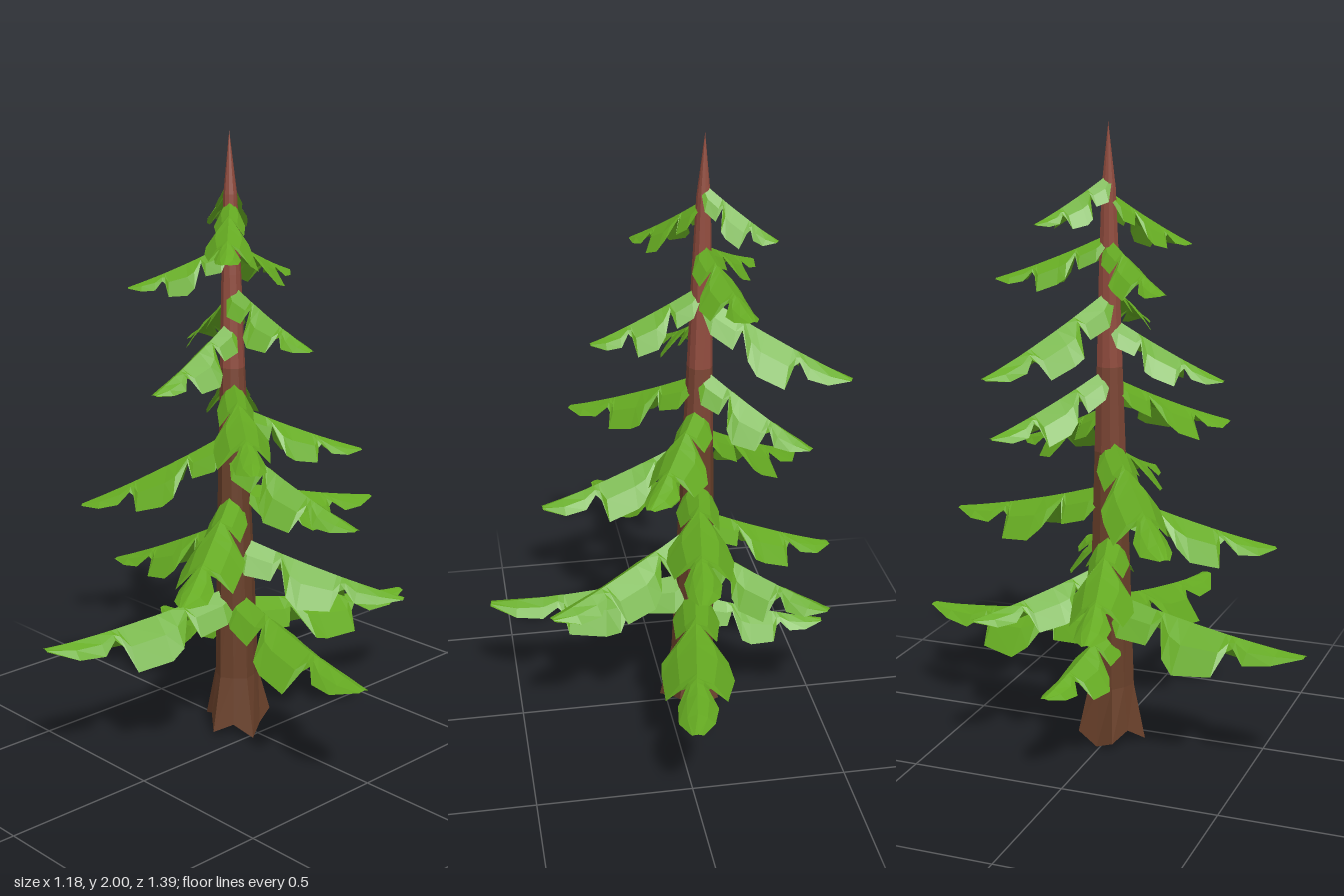
import * as THREE from 'three';

const paint = (name, color, extra = {}) => {
  const m = new THREE.MeshStandardMaterial({ color, flatShading: true, ...extra });
  m.name = name;
  return m;
};

// Skin a list of cross-sections (arrays of [x, y, z]) with flat quads
function loft(rows, closed) {
  const n = rows[0].length, pos = rows.flat(2), idx = [];
  for (let i = 0; i < rows.length - 1; i++) {
    for (let j = 0; j < (closed ? n : n - 1); j++) {
      const a = i * n + j, b = i * n + (j + 1) % n;
      idx.push(a, a + n, b, b, a + n, b + n);
    }
  }
  const g = new THREE.BufferGeometry();
  g.setAttribute('position', new THREE.Float32BufferAttribute(pos, 3));
  g.setIndex(idx);
  const flat = g.toNonIndexed();
  flat.computeVertexNormals();
  return flat;
}

// Trunk centre line and radius at a height
const trunkX = y => -0.093 - 0.012 * y;
const SIDES = 10;
function trunkRing([y, r, star, jag = 0]) {
  return Array.from({ length: SIDES }, (_, j) => {
    const a = (j + 0.4) / SIDES * Math.PI * 2;
    const k = r * (1 + (j % 2 ? -star : star));
    return [trunkX(y) + k * Math.cos(a), y + jag * ((j * 3) % 5) / 4, 0.01 + k * Math.sin(a)];
  });
}

// Branch outline: [distance along, half width, drop], three hanging lobes
const LOBES = [
  [0, 0.25, 0.3], [0.1, 0.65, 0.8], [0.25, 0.6, 0.75], [0.29, 0.25, 0.2],
  [0.36, 0.9, 0.85], [0.43, 1, 1], [0.61, 0.88, 0.88], [0.64, 0.4, 0.35],
  [0.67, 0.3, 0.2], [0.74, 0.55, 0.42], [0.87, 0.5, 0.3], [1, 0.15, 0.03],
];

// A folded bough: a ridge from the trunk to the tip with both sides hanging
function boughGeometry(rootY, tx, ty, tz, k) {
  const rx = trunkX(rootY), rz = 0.01;
  const dx = tx - rx, dz = tz - rz, flat = Math.hypot(dx, dz);
  const len = Math.hypot(flat, ty - rootY);
  const sx = -dz / flat, sz = dx / flat;
  const width = 0.035 + 0.115 * len, drop = 0.045 + 0.115 * len;
  const rows = LOBES.map(([s, w, d], i) => {
    const y = rootY + (ty - rootY) * s - 0.08 * len * s * (1 - s);
    const point = (side, out, down) => {
      const wob = 1 + 0.08 * Math.sin(k * 2.3 + i * 1.7 + side);
      const o = side * out * w * width * wob;
      return [rx + dx * s + sx * o, y - down * d * drop * wob, rz + dz * s + sz * o];
    };
    return [point(1, 1, 1), point(1, 0.55, 0.4), point(0, 0, 0), point(-1, 0.55, 0.4), point(-1, 1, 1)];
  });
  return loft(rows, false);
}

// Boughs from bottom to top: [height at trunk, tip x, tip y, tip z]
const BOUGHS = [
  [0.41, -0.53, 0.30, -0.04], [0.50, 0.585, 0.38, 0.12], [0.51, -0.24, 0.43, 0.69], [0.47, 0.02, 0.35, -0.69],
  [0.62, -0.48, 0.50, -0.30], [0.69, 0.41, 0.53, -0.26], [0.74, -0.585, 0.51, 0.12], [0.85, 0.18, 0.63, 0.48],
  [0.87, -0.02, 0.72, -0.56], [1.04, -0.50, 0.77, 0.33], [1.01, 0.41, 0.81, -0.03], [1.13, 0.11, 0.95, -0.37],
  [1.22, 0.28, 1.02, 0.28], [1.25, -0.41, 1.06, -0.26], [1.41, -0.07, 1.22, 0.37], [1.49, -0.54, 1.27, -0.22],
  [1.52, 0.24, 1.35, 0.0], [1.65, -0.32, 1.51, 0.26], [1.66, -0.20, 1.52, -0.33], [1.79, 0.08, 1.62, 0.21],
  [1.84, -0.31, 1.70, -0.15],
];

export function createModel() {
  const needles = paint('needle green', 0x66ac22, { side: THREE.DoubleSide });
  const barks = [paint('dark bark', 0x69402a), paint('middle bark', 0x7c4534), paint('red bark', 0x914c3e)];
  const tree = new THREE.Group();
  tree.name = 'pineTree';

  // Trunk in three bark bands: [height, radius, star amount, jaggedness]
  const bands = [
    [[0.06, 0.0, 0], [0, 0.1, 0.14, 0.055], [0.2, 0.072, 0.06], [0.6, 0.063, 0.03], [0.98, 0.05, 0.03]],
    [[0.98, 0.05, 0.03], [1.25, 0.041, 0.03]],
    [[1.25, 0.041, 0.03], [1.55, 0.032, 0.03], [1.8, 0.022, 0.03], [1.995, 0.0, 0]],
  ];
  ['lowerTrunk', 'middleTrunk', 'upperTrunk'].forEach((name, i) => {
    const mesh = new THREE.Mesh(loft(bands[i].map(trunkRing), true), barks[i]);
    mesh.name = name;
    tree.add(mesh);
  });

  // Boughs
  const boughs = new THREE.Group();
  boughs.name = 'boughs';
  BOUGHS.forEach((b, k) => {
    const mesh = new THREE.Mesh(boughGeometry(...b, k), needles);
    mesh.name = 'bough';
    boughs.add(mesh);
  });
  tree.add(boughs);
  return tree;
}
